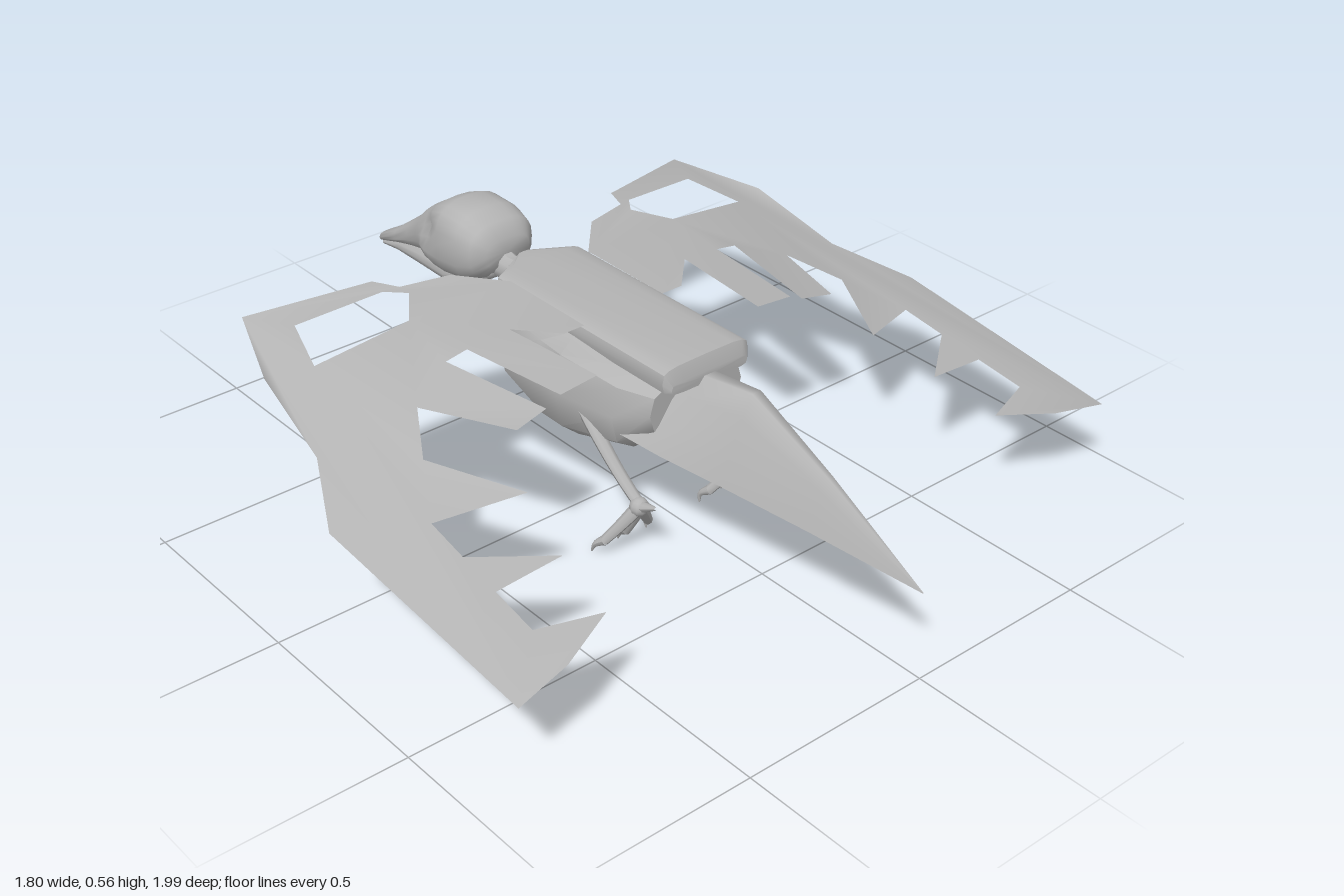
import * as THREE from 'three';
import { mergeVertices, toCreasedNormals } from 'three/addons/utils/BufferGeometryUtils.js';

const grey = new THREE.MeshStandardMaterial({ color: 0xb4b4b4 });
grey.name = 'grey';
const greySheet = new THREE.MeshStandardMaterial({ color: 0xb4b4b4, side: THREE.DoubleSide });
greySheet.name = 'grey sheet';

function add(parent, name, geometry, material = grey) {
  const mesh = new THREE.Mesh(geometry, material);
  mesh.name = name;
  parent.add(mesh);
  return mesh;
}

// Skin over rows of equally many points; rows run towards +z, points anticlockwise
function skin(rows) {
  const n = rows[0].length, index = [];
  for (let i = 0; i < rows.length - 1; i++) {
    for (let j = 0; j < n - 1; j++) {
      const a = i * n + j, c = a + n;
      index.push(a, a + 1, c, a + 1, c + 1, c);
    }
  }
  const g = new THREE.BufferGeometry();
  g.setAttribute('position', new THREE.Float32BufferAttribute(rows.flat(2), 3));
  g.setIndex(index);
  return g;
}

// Closed loft from sections [z, half width, top, bottom]; power squares the corners
function loft(sections, sides, power, crease, rule = p => p) {
  const bulge = v => Math.sign(v) * Math.abs(v) ** power;
  const ring = ([z, w, top, bottom]) => Array.from({ length: sides + 1 }, (_, j) => {
    const a = ((j % sides) / sides) * Math.PI * 2;
    return rule([w * bulge(Math.cos(a)), (top + bottom) / 2 + (top - bottom) / 2 * bulge(Math.sin(a)), z]);
  });
  const flatEnd = ([z, , top, bottom]) => [z, 0, (top + bottom) / 2, (top + bottom) / 2];
  const all = [flatEnd(sections[0]), ...sections, flatEnd(sections.at(-1))];
  const g = mergeVertices(skin(all.map(ring)));
  return toCreasedNormals(g, crease);
}

// Tube through points, thinning from r0 to r1
function limb(points, r0, r1) {
  const curve = new THREE.CatmullRomCurve3(points.map(p => new THREE.Vector3(...p)));
  const steps = 8, sides = 8;
  const g = new THREE.TubeGeometry(curve, steps, 1, sides);
  const pos = g.attributes.position, v = new THREE.Vector3();
  for (let i = 0; i < pos.count; i++) {
    const t = Math.floor(i / (sides + 1)) / steps, c = curve.getPointAt(t);
    v.fromBufferAttribute(pos, i).sub(c).multiplyScalar(r0 + (r1 - r0) * t).add(c);
    pos.setXYZ(i, v.x, v.y, v.z);
  }
  g.computeVertexNormals();
  return g;
}

// Wing outline and opening as [x, y, z]
const wingOutline = [
  [.12, .5, -.28], [.22, .507, -.39], [.345, .503, -.425], [.375, .497, -.5], [.68, .465, -.6],
  [.77, .44, -.36], [.8, .365, -.105], [.9, .31, .09], [.89, .235, .74], [.745, .255, .715],
  [.595, .28, .655], [.745, .275, .6], [.74, .295, .47], [.57, .315, .48], [.735, .315, .35],
  [.73, .335, .23], [.53, .37, .31], [.645, .39, .085], [.57, .435, -.04], [.48, .46, .21],
  [.39, .475, .2], [.445, .48, -.1], [.385, .49, -.1], [.35, .495, .2], [.245, .505, .2],
  [.27, .505, -.09], [.18, .5, 0], [.12, .5, 0],
];
const wingOpening = [[.615, .475, -.47], [.385, .497, -.44], [.345, .503, -.385], [.41, .49, -.295], [.66, .45, -.32]];

function wing() {
  const flat = list => list.map(p => new THREE.Vector2(p[0], p[2]));
  const outline = wingOutline, opening = [...wingOpening];
  const faces = THREE.ShapeUtils.triangulateShape(flat(outline), [flat(opening)]);
  const g = new THREE.BufferGeometry();
  g.setAttribute('position', new THREE.Float32BufferAttribute([...outline, ...opening].flat(), 3));
  // reverse so that the fronts look up
  const up = THREE.ShapeUtils.isClockWise(flat(outline));
  g.setIndex(faces.flatMap(([a, b, c]) => (up ? [a, b, c] : [a, c, b])));
  g.computeVertexNormals();
  return g;
}

// One leg on the +x side
function leg() {
  const group = new THREE.Group();
  add(group, 'thigh', limb([[.16, .31, .05], [.165, .27, .1], [.165, .2, .18], [.165, .145, .26]], .019, .014));
  const ankle = add(group, 'ankle', new THREE.SphereGeometry(.024, 10, 8));
  ankle.position.set(.167, .145, .255);
  for (const [dx, z] of [[-.08, .185], [0, .175], [.08, .175]]) {
    const x = .165 + dx;
    add(group, 'toe', limb([[.166, .145, .255], [.165 + dx * .45, .095, .23], [.165 + dx * .85, .05, .205]], .018, .012));
    add(group, 'claw', limb([[.165 + dx * .83, .053, .207], [.165 + dx * .97, .035, .185], [x, .012, z]], .013, .002));
  }
  add(group, 'backToe', limb([[.167, .145, .255], [.168, .16, .29], [.17, .172, .318]], .017, .004));
  return group;
}

export function createModel() {
  const model = new THREE.Group();

  // Belly, with a hard keel-like underside
  add(model, 'body', loft([
    [-.39, .03, .47, .41], [-.345, .13, .485, .34], [-.27, .17, .49, .215], [-.11, .182, .49, .165],
    [-.03, .186, .485, .17], [.17, .18, .47, .235], [.26, .14, .45, .31],
  ], 12, .68, .7));

  // Bevelled plate along the back
  add(model, 'backPlate', loft([
    [-.385, .02, .5, .46], [-.325, .13, .505, .44], [.29, .13, .51, .44], [.305, .115, .475, .445],
  ], 16, .45, .6));

  // Roof-shaped tail, open below
  const tailSections = [[.15, .17, .445, .31], [.3, .14, .475, .292], [.46, .105, .5, .28], [.7, .058, .39, .262], [.99, .001, .236, .234]];
  const tail = skin(tailSections.map(([z, w, top, side]) =>
    [1, .75, .4, .12, -.12, -.4, -.75, -1].map(t => [w * t, side + (top - side) * (1 - Math.abs(t) ** 1.3), z])));
  tail.computeVertexNormals();
  add(model, 'tail', tail, greySheet);

  add(model, 'neck', loft([
    [-.52, .045, .49, .39], [-.44, .032, .465, .39], [-.36, .034, .47, .38], [-.32, .05, .48, .36],
  ], 10, 1, 1.2));

  // Skull and upper beak, with hollows for the eyes
  const socket = ([x, y, z]) => {
    const d = Math.hypot((z + .69) / .042, (y - .475) / .04);
    return [x * (1 - .4 * Math.exp(-d * d)), y, z];
  };
  add(model, 'head', loft([
    [-.995, .018, .315, .3], [-.985, .032, .325, .298], [-.9, .042, .375, .325], [-.83, .048, .425, .342],
    [-.78, .055, .462, .352], [-.75, .068, .49, .357], [-.72, .085, .512, .36], [-.69, .1, .53, .36],
    [-.66, .108, .55, .358], [-.61, .11, .57, .355], [-.53, .109, .567, .37], [-.48, .098, .548, .4], [-.452, .068, .51, .435],
  ], 24, .75, 1, socket));
  add(model, 'lowerBeak', loft([
    [-.99, .02, .302, .282], [-.9, .034, .335, .298], [-.75, .058, .37, .313], [-.62, .085, .4, .332],
    [-.53, .08, .42, .36], [-.47, .04, .43, .4],
  ], 14, .85, 1));

  // Mirrored wings and legs
  for (const [side, s] of [['left', 1], ['right', -1]]) {
    const w = add(model, side + 'Wing', wing(), greySheet);
    w.scale.x = s;
    const l = leg();
    l.name = side + 'Leg';
    l.scale.x = s;
    model.add(l);
  }
  return model;
}
